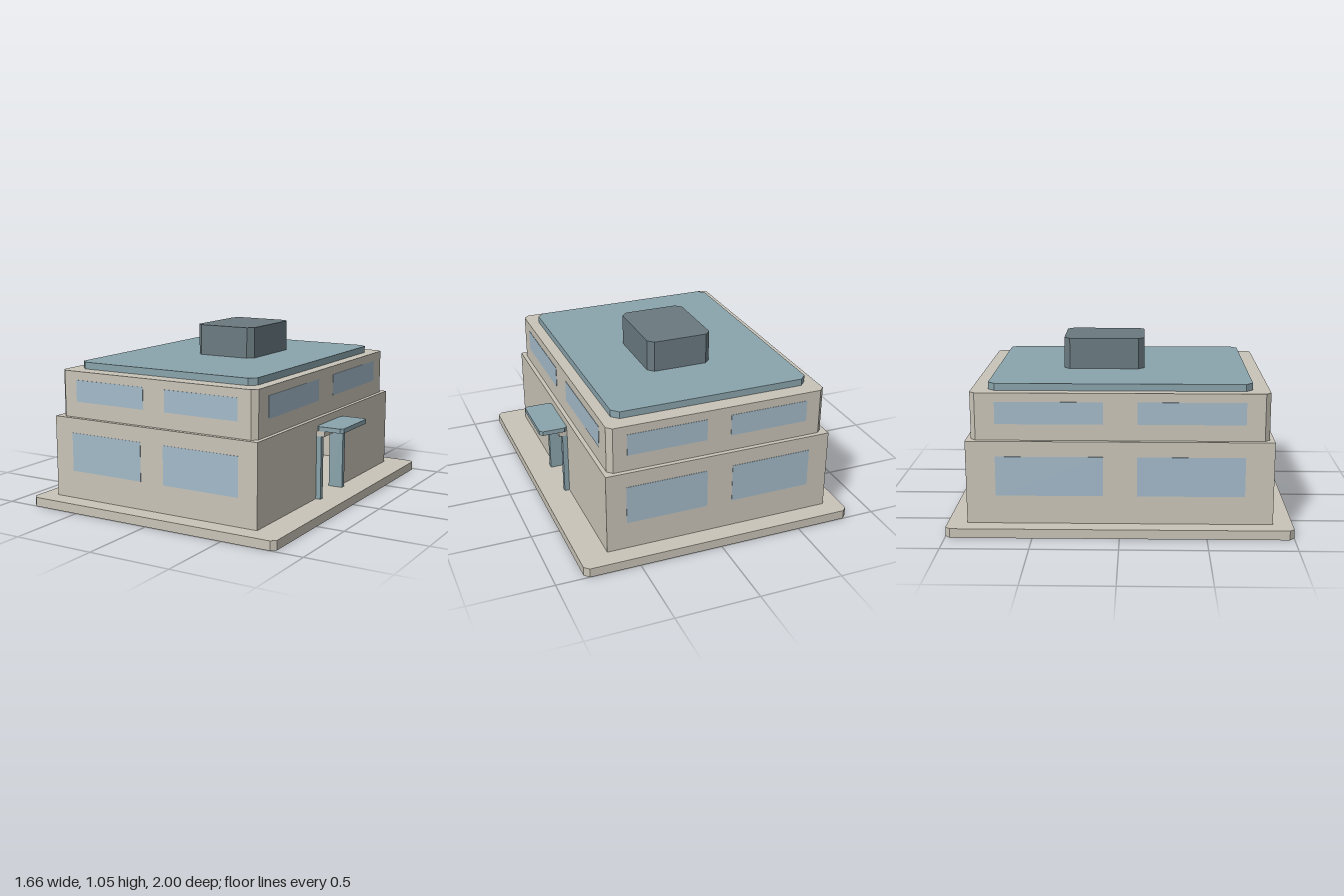
import * as THREE from 'three';

const flat = (name, color) => {
  const m = new THREE.MeshStandardMaterial({ color });
  m.name = name;
  return m;
};

export function createModel() {
  const wall = flat('beige wall', 0xc9c4b8);
  const trim = flat('blue grey trim', 0x8aa4ac);
  const unit = flat('dark grey unit', 0x6a7a80);
  const glass = flat('pale blue glass', 0xa3bac9);

  const model = new THREE.Group();
  model.name = 'building';

  const add = (name, geometry, material, parent = model) => {
    const mesh = new THREE.Mesh(geometry, material);
    mesh.name = name;
    parent.add(mesh);
    return mesh;
  };

  // Box given by its limits on each axis
  const box = (name, [x0, x1], [y0, y1], [z0, z1], material, parent) => {
    const mesh = add(name, new THREE.BoxGeometry(x1 - x0, y1 - y0, z1 - z0), material, parent);
    mesh.position.set((x0 + x1) / 2, (y0 + y1) / 2, (z0 + z1) / 2);
    return mesh;
  };

  // Outline in plan (x, z) raised from y0 to y1
  const raise = (name, points, [y0, y1], material, parent) => {
    const shape = new THREE.Shape(points.map(([x, z]) => new THREE.Vector2(x, -z)));
    const geometry = new THREE.ExtrudeGeometry(shape, { depth: y1 - y0, bevelEnabled: false });
    geometry.rotateX(-Math.PI / 2);
    geometry.translate(0, y0, 0);
    return add(name, geometry, material, parent);
  };

  // Slab with cut vertical corners
  const slab = (name, [x0, x1], ys, [z0, z1], c, material, parent) => raise(name, [
    [x0 + c, z0], [x1 - c, z0], [x1, z0 + c], [x1, z1 - c],
    [x1 - c, z1], [x0 + c, z1], [x0, z1 - c], [x0, z0 + c],
  ], ys, material, parent);

  slab('base', [-0.83, 0.83], [0, 0.055], [-1, 1], 0.028, wall);

  // Hollow ground floor: three walls in a U, a ceiling and the door wall
  const X0 = -0.725, X1 = 0.66, Z = 0.885, T = 0.05;
  const ground = new THREE.Group();
  ground.name = 'groundFloor';
  model.add(ground);
  raise('outerWalls', [
    [X1 - T, -Z], [X1 - T, -Z + T], [X0 + T, -Z + T], [X0 + T, Z - T],
    [X1 - T, Z - T], [X1 - T, Z], [X0, Z], [X0, -Z],
  ], [0.055, 0.545], wall, ground);
  box('ceiling', [X0 + T, X1 - T], [0.5, 0.545], [-Z + T, Z - T], wall, ground);

  const doorWall = new THREE.Shape([
    [-Z, 0.055], [-0.165, 0.055], [-0.165, 0.47], [0.165, 0.47],
    [0.165, 0.055], [Z, 0.055], [Z, 0.545], [-Z, 0.545],
  ].map(([z, y]) => new THREE.Vector2(z, y)));
  const doorWallGeometry = new THREE.ExtrudeGeometry(doorWall, { depth: T, bevelEnabled: false });
  doorWallGeometry.rotateY(Math.PI / 2);
  doorWallGeometry.translate(X1 - T, 0, 0);
  add('doorWall', doorWallGeometry, wall, ground);

  // Upper floor, roof and rooftop unit
  slab('upperFloor', [-0.697, 0.635], [0.545, 0.822], [-0.858, 0.858], 0.03, wall);
  slab('roof', [-0.633, 0.568], [0.822, 0.863], [-0.76, 0.76], 0.04, trim);
  slab('rooftopUnit', [-0.2, 0.197], [0.863, 1.05], [-0.35, 0.138], 0.035, unit);

  // Entrance: jambs through the wall, lintel and canopy
  const entrance = new THREE.Group();
  entrance.name = 'entrance';
  model.add(entrance);
  for (const s of [-1, 1]) {
    box('doorJamb', [0.6, 0.69], [0.055, 0.44], s < 0 ? [-0.167, -0.135] : [0.138, 0.17], trim, entrance);
  }
  box('lintel', [0.6, 0.71], [0.44, 0.473], [-0.167, 0.17], wall, entrance);
  slab('canopy', [0.66, 0.83], [0.473, 0.5], [-0.178, 0.175], 0.018, trim, entrance);

  // Window panes, two per floor on each side; the door wall has only upper ones
  const windows = new THREE.Group();
  windows.name = 'windows';
  model.add(windows);
  const p = 0.004;
  const endPanes = (z, ys, spans) => spans.forEach((xs) => {
    box('endWindow', xs, ys, z > 0 ? [z - p, z + p / 2] : [z - p / 2, z + p], glass, windows);
  });
  const sidePanes = (x, out, ys) => [[-0.715, -0.095], [0.1, 0.72]].forEach((zs) => {
    box('sideWindow', out > 0 ? [x - p, x + p / 2] : [x - p / 2, x + p], ys, zs, glass, windows);
  });
  const low = [0.222, 0.455], high = [0.64, 0.77];
  for (const s of [-1, 1]) {
    endPanes(s * Z, low, [[-0.6, -0.108], [0.048, 0.54]]);
    endPanes(s * 0.858, high, [[-0.582, -0.103], [0.043, 0.522]]);
  }
  sidePanes(X0, -1, low);
  sidePanes(-0.697, -1, high);
  sidePanes(0.635, 1, high);

  return model;
}
